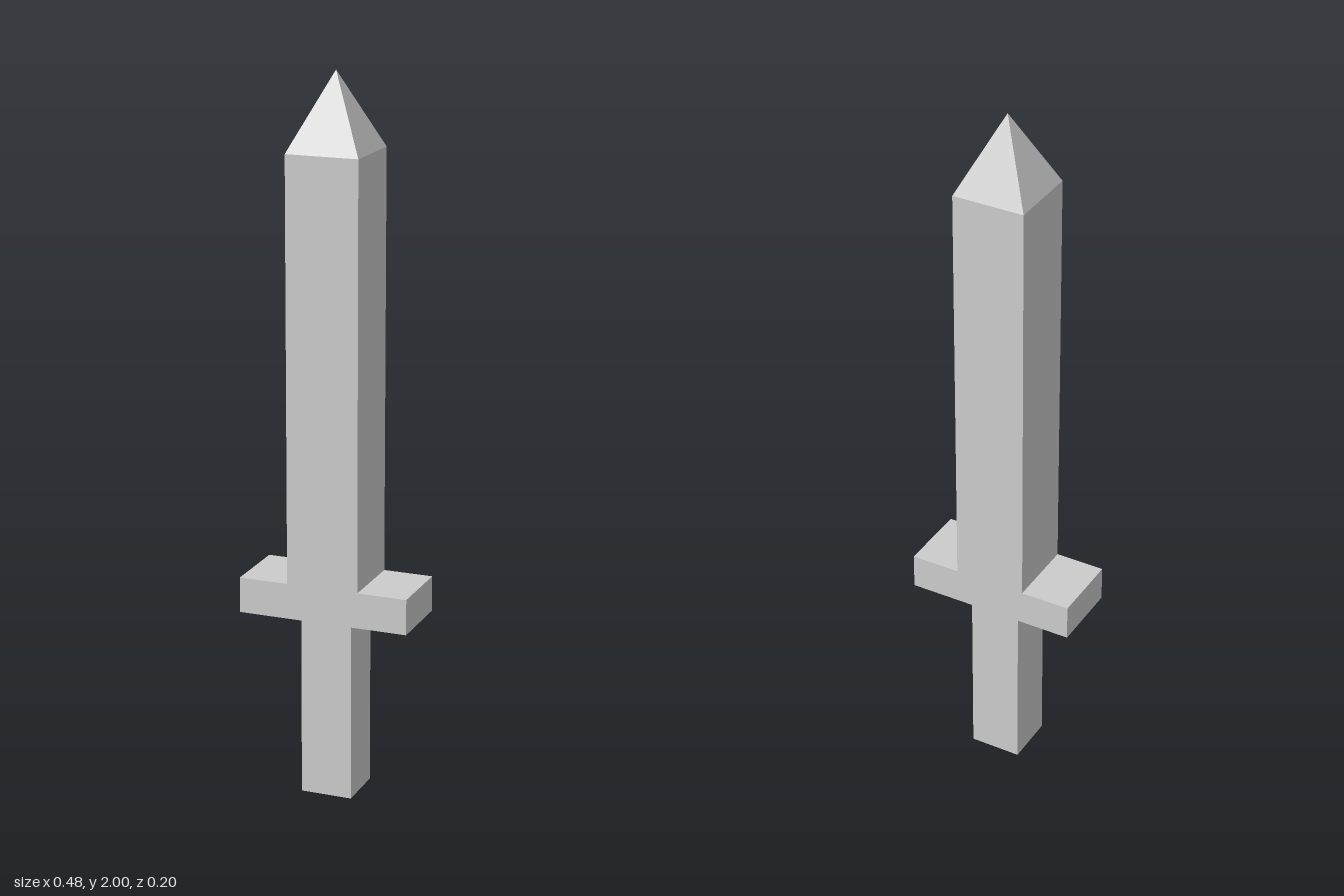
import * as THREE from 'three';

export function createModel() {
  const group = new THREE.Group();
  group.name = 'sword';
  const material = new THREE.MeshStandardMaterial({ color: 0xcccccc, flatShading: true });

  const half = 0.102;       // half width and half depth of the blade
  const guardHalf = 0.242;
  const gripHalf = 0.073;
  const guardBottom = 0.515, guardTop = 0.615, bladeTop = 1.79, tipTop = 2;

  const add = (name, geometry, y) => {
    const mesh = new THREE.Mesh(geometry, material);
    mesh.name = name;
    mesh.position.y = y;
    group.add(mesh);
    return mesh;
  };

  // Grip
  add('grip', new THREE.BoxGeometry(gripHalf * 2, guardBottom, gripHalf * 2), guardBottom / 2);

  // Blade and crossguard share flush faces, so they are one extruded outline
  const outline = new THREE.Shape([
    [-guardHalf, guardBottom], [guardHalf, guardBottom], [guardHalf, guardTop], [half, guardTop],
    [half, bladeTop], [-half, bladeTop], [-half, guardTop], [-guardHalf, guardTop],
  ].map(([x, y]) => new THREE.Vector2(x, y)));
  const body = new THREE.ExtrudeGeometry(outline, { depth: half * 2, bevelEnabled: false });
  body.translate(0, 0, -half);
  add('bladeAndGuard', body, 0);

  // Four-sided point
  const tipHeight = tipTop - bladeTop;
  const tip = new THREE.ConeGeometry(half * Math.SQRT2, tipHeight, 4, 1, true);
  tip.rotateY(Math.PI / 4);
  add('bladeTip', tip, bladeTop + tipHeight / 2);

  return group;
}
